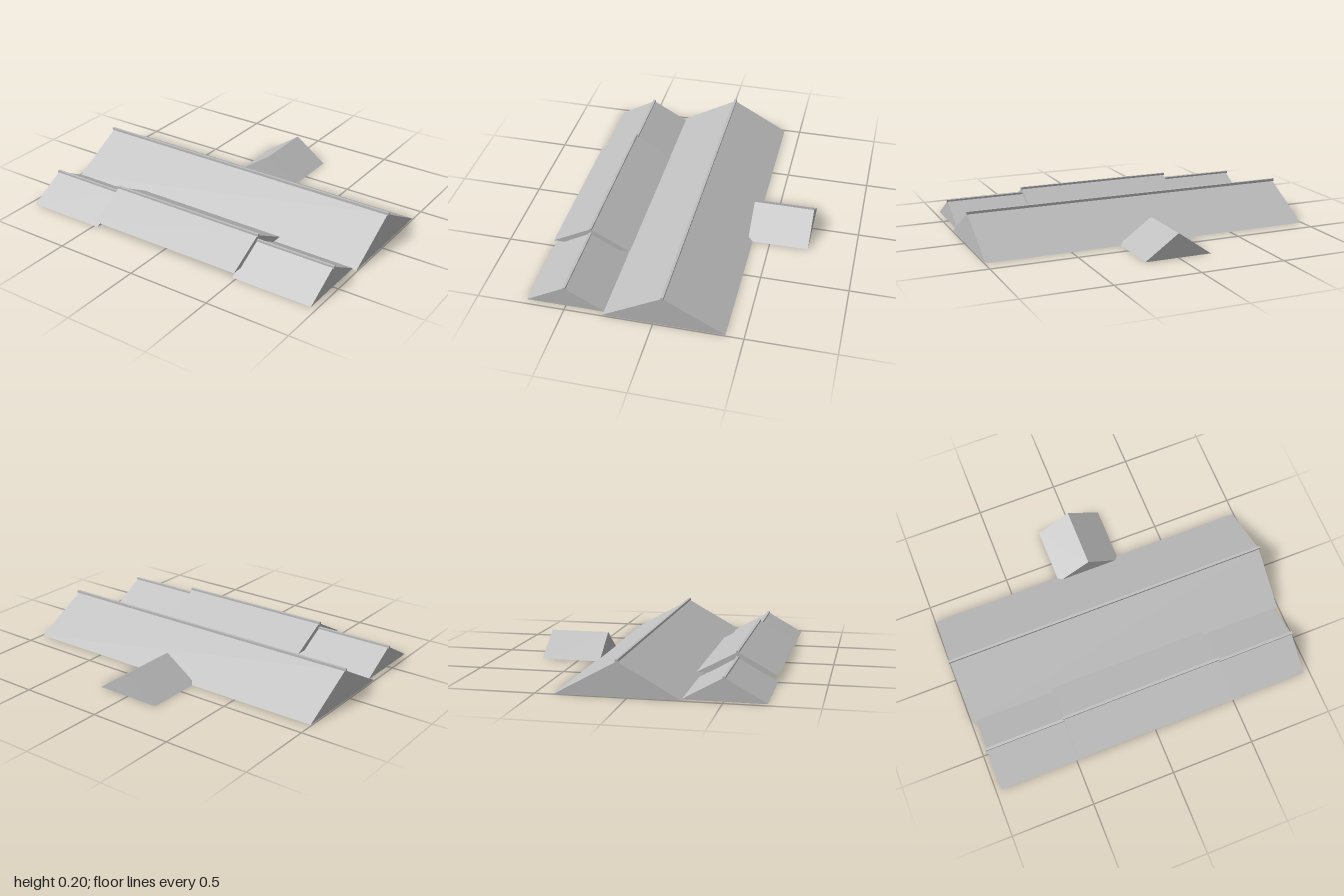
import * as THREE from 'three';

const grey = new THREE.MeshStandardMaterial({ color: 0xbebebe });
grey.name = 'roofGrey';

// Closed triangular prism with its ridge along x, from x0 to x1
function gable(name, x0, x1, z, halfDepth, base, peak) {
  const shape = new THREE.Shape();
  shape.moveTo(-halfDepth, base);
  shape.lineTo(halfDepth, base);
  shape.lineTo(0, peak);
  shape.closePath();
  const geo = new THREE.ExtrudeGeometry(shape, { depth: x1 - x0, bevelEnabled: false });
  geo.rotateY(Math.PI / 2);
  geo.translate(x0, 0, z);
  const mesh = new THREE.Mesh(geo, grey);
  mesh.name = name;
  return mesh;
}

// Thin square bar lying along the ridge
function ridgeCap(name, x0, x1, z, y) {
  const mesh = new THREE.Mesh(new THREE.BoxGeometry(x1 - x0, 0.015, 0.015), grey);
  mesh.position.set((x0 + x1) / 2, y - 0.0075, z);
  mesh.name = name;
  return mesh;
}

export function createModel() {
  const model = new THREE.Group();
  model.name = 'gabledRoofs';

  // Long main roof
  model.add(gable('mainRoof', -0.993, 0.993, -0.055, 0.343, 0, 0.19));
  model.add(ridgeCap('mainRidge', -1, 1, -0.055, 0.202));

  // Low front roofs on both sides
  for (const [side, x0, x1] of [['left', 0.474, 0.966], ['right', -0.966, -0.474]]) {
    const out = 0.006;
    model.add(gable(side + 'FrontRoof', x0, x1, 0.502, 0.224, 0, 0.127));
    model.add(ridgeCap(side + 'FrontRidge', x0 - out, x1 + out, 0.502, 0.134));
  }

  // Raised centre front roof
  model.add(gable('centreFrontRoof', -0.49, 0.49, 0.5, 0.23, 0.034, 0.158));
  model.add(ridgeCap('centreFrontRidge', -0.496, 0.496, 0.5, 0.166));

  // Small rear roof, its ridge running front to back
  const rear = gable('rearRoof', -0.178, 0.178, 0, 0.2, 0, 0.14);
  rear.rotation.y = Math.PI / 2;
  rear.position.z = -0.548;
  model.add(rear);

  return model;
}
